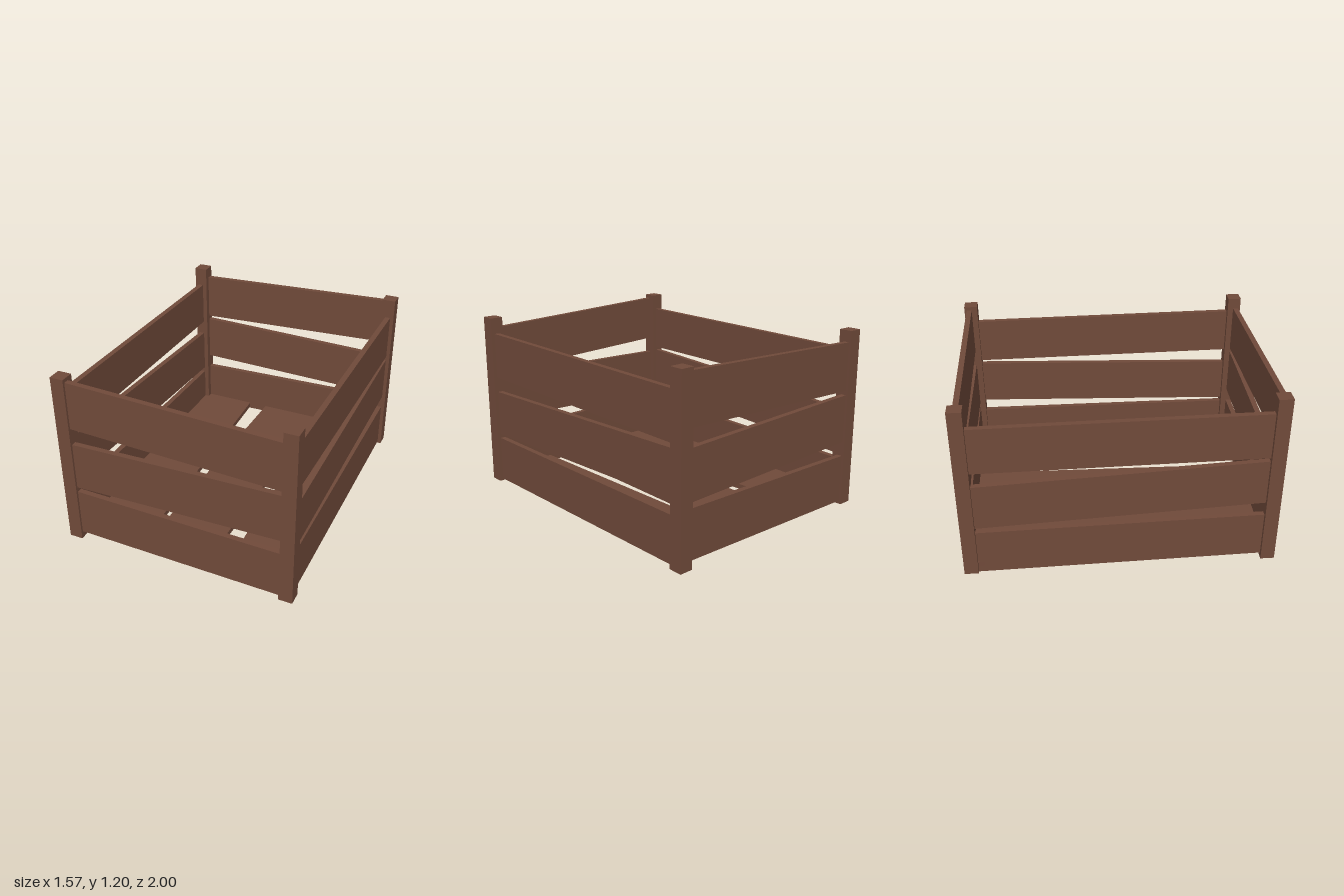
import * as THREE from 'three';

export function createModel() {
  const crate = new THREE.Group();
  crate.name = 'crate';
  const wood = new THREE.MeshStandardMaterial({ color: 0x704a3a });
  wood.name = 'brown wood';

  const box = (name, size, pos) => {
    const mesh = new THREE.Mesh(new THREE.BoxGeometry(...size), wood);
    mesh.name = name;
    mesh.position.set(...pos);
    crate.add(mesh);
    return mesh;
  };

  // corner posts
  for (const x of [-1, 1]) for (const z of [-1, 1]) {
    box('cornerPost', [0.09, 1.19, 0.09], [x * 0.74, 0.605, z * 0.955]);
  }

  // front and back slats: centre heights at the left and right end as seen from outside
  const endSlats = [[0.22, 0.192], [0.577, 0.612], [1.015, 0.963]];
  for (const side of [1, -1]) for (const [a, b] of endSlats) {
    const slat = box(side > 0 ? 'frontSlat' : 'backSlat',
      [1.48, 0.322, 0.036], [0, (a + b) / 2, side * 0.967]);
    slat.rotation.z = side * Math.atan((b - a) / 1.4);
  }

  // side slats: centre heights at the front and back end
  const sideSlats = {
    leftSlat: [0.743, [[0.178, 0.178], [0.52, 0.577], [0.935, 0.915]]],
    rightSlat: [-0.743, [[0.195, 0.16], [0.6, 0.506], [0.935, 0.915]]],
  };
  for (const [name, [x, slats]] of Object.entries(sideSlats)) {
    for (const [front, back] of slats) {
      const slat = box(name, [0.036, 0.31, 1.9], [x, (front + back) / 2, 0]);
      slat.rotation.x = -Math.atan((front - back) / 1.82);
    }
  }

  // floor planks: centre x and sideways drift from back to front
  for (const [x, drift] of [[-0.515, 0.07], [-0.005, -0.04], [0.513, 0.04]]) {
    const plank = box('floorPlank', [0.428, 0.036, 1.92], [x, 0.068, 0]);
    plank.rotation.y = Math.atan(drift / 1.9);
  }

  return crate;
}
